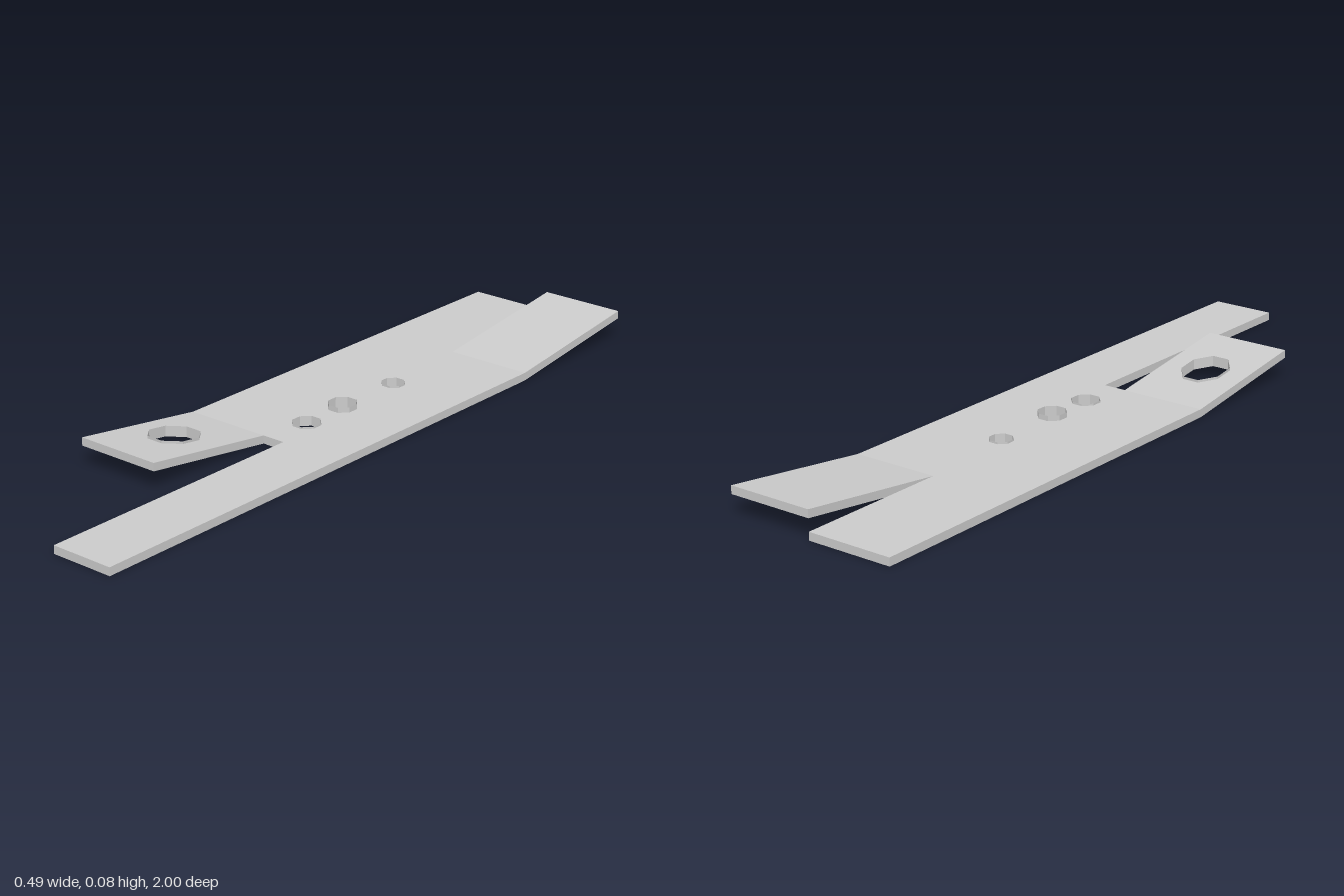
import * as THREE from 'three';

const T = 0.022;      // plate thickness
const W = 0.243;      // half width
const RISE = 0.055;   // lift at the tip of each bent tab
const FRONT_BEND = 0.21, FRONT_END = 0.605;
const BACK_BEND = -0.565, BACK_END = -1;

const material = new THREE.MeshStandardMaterial({ color: 0xcccccc, flatShading: true, side: THREE.DoubleSide });

// Eight-sided outline with flats on the axes, as [x, z] corners
function octagon({ x, z, rx, rz }) {
  const k = 1 / Math.cos(Math.PI / 8);
  return Array.from({ length: 8 }, (_, i) => {
    const a = (i + 0.5) * Math.PI / 4;
    return [x + Math.cos(a) * rx * k, z + Math.sin(a) * rz * k];
  });
}

// Flat sheet on y = 0 from [x, z] corners, with octagonal holes
function sheet(corners, holes = []) {
  const toPoints = list => list.map(([x, z]) => new THREE.Vector2(x, -z));
  const shape = new THREE.Shape(toPoints(corners));
  holes.forEach(h => shape.holes.push(new THREE.Path(toPoints(octagon(h)))));
  return new THREE.ExtrudeGeometry(shape, { depth: T, bevelEnabled: false }).rotateX(-Math.PI / 2);
}

// Thin upright lip around a hole, standing on the plate
function lip({ x, z, rx, rz, lip: h }) {
  const k = 1 / Math.cos(Math.PI / 8);
  return new THREE.CylinderGeometry(k, k, h, 8, 1, true)
    .rotateY(Math.PI / 8).scale(rx, 1, rz).translate(x, T + h / 2, z);
}

// Lift vertices linearly from the bend line to the tip
function bend(geometry, start, end) {
  const p = geometry.attributes.position;
  for (let i = 0; i < p.count; i++) {
    p.setY(i, p.getY(i) + RISE * (p.getZ(i) - start) / (end - start));
  }
  geometry.computeVertexNormals();
  return geometry;
}

export function createModel() {
  const group = new THREE.Group();
  const add = (name, geometry) => {
    const mesh = new THREE.Mesh(geometry, material);
    mesh.name = name;
    group.add(mesh);
  };

  const mountHoles = [
    { x: 0.025, z: -0.275, rx: 0.03, rz: 0.03, lip: 0.005 },
    { x: 0.03, z: -0.062, rx: 0.036, rz: 0.037, lip: 0.014 },
    { x: 0.03, z: 0.08, rx: 0.036, rz: 0.037, lip: 0.005 },
  ];
  const tabHole = { x: -0.123, z: 0.405, rx: 0.058, rz: 0.07, lip: 0.007 };

  // Flat plate with the long front arm and the flat back half
  add('mainPlate', sheet([
    [-W, FRONT_BEND], [0.065, FRONT_BEND], [0.065, 1], [W, 1],
    [W, BACK_BEND], [0, BACK_BEND], [0, -1], [-W, -1],
  ], mountHoles));
  mountHoles.forEach(h => add('mountingHoleLip', lip(h)));

  // Short bent front tab with its large hole
  add('frontTab', bend(sheet([
    [-W, FRONT_END], [0, FRONT_END], [0, FRONT_BEND], [-W, FRONT_BEND],
  ], [tabHole]), FRONT_BEND, FRONT_END));
  add('frontTabHoleLip', bend(lip(tabHole), FRONT_BEND, FRONT_END));

  // Bent back tab
  add('backTab', bend(sheet([
    [0, BACK_BEND], [W, BACK_BEND], [W, BACK_END], [0, BACK_END],
  ]), BACK_BEND, BACK_END));

  return group;
}
